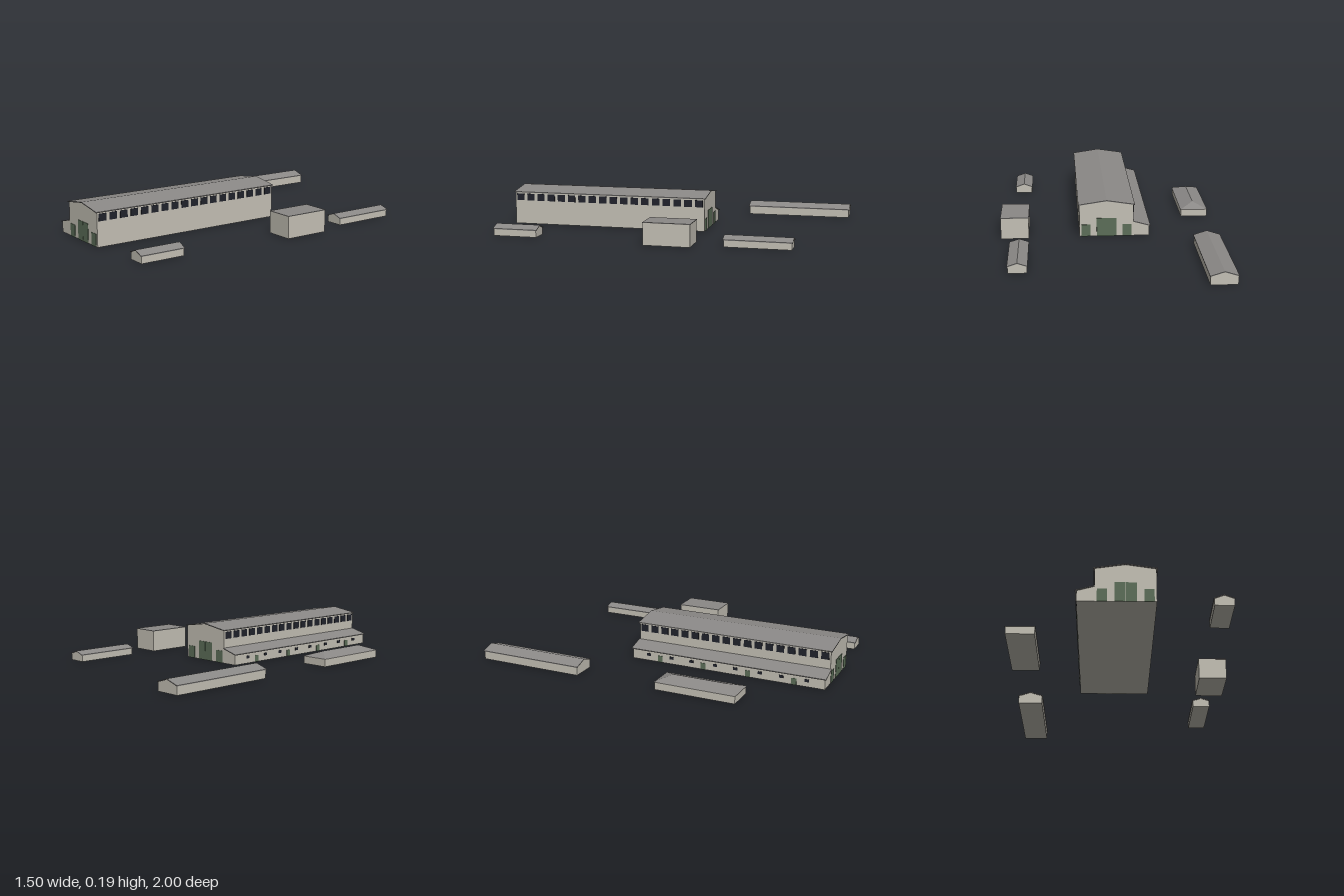
import * as THREE from 'three';

const mat = (name, color) => {
  const m = new THREE.MeshStandardMaterial({ color });
  m.name = name;
  return m;
};

export function createModel() {
  const wall = mat('pale wall', 0xc4c0b5);
  const roofing = mat('grey roofing', 0x8b8987);
  const doorGreen = mat('green door', 0x5c6e58);
  const glass = mat('dark glass', 0x20222b);

  const site = new THREE.Group();
  site.name = 'industrialSite';

  const add = (parent, name, geometry, material) => {
    const m = new THREE.Mesh(geometry, material);
    m.name = name;
    parent.add(m);
    return m;
  };

  // Every building shares the same heading
  const building = (name, x, z) => {
    const g = new THREE.Group();
    g.name = name;
    g.position.set(x, 0, z);
    g.rotation.y = -0.485;
    site.add(g);
    return g;
  };

  // Cross-section [x, y] extruded along z, centred
  const prism = (points, length) => {
    const shape = new THREE.Shape(points.map(([x, y]) => new THREE.Vector2(x, y)));
    return new THREE.ExtrudeGeometry(shape, { depth: length, bevelEnabled: false })
      .translate(0, 0, -length / 2);
  };

  // Thin roof sheet that follows a line of [x, y] points
  const sheet = (line, length, t = 0.004) =>
    prism([...line, ...line.map(([x, y]) => [x, y - t]).reverse()], length);

  const plate = (parent, name, material, [w, h, d], [x, y, z]) =>
    add(parent, name, new THREE.BoxGeometry(w, h, d), material).position.set(x, y, z);

  // Simple sheds with a pitched roof
  const shed = (name, x, z, w, l, eave, ridge) => {
    const g = building(name, x, z);
    const a = w / 2 - 0.003;
    add(g, 'walls', prism([[-a, 0], [a, 0], [a, eave - 0.002], [0, ridge - 0.003], [-a, eave - 0.002]], l - 0.008), wall);
    add(g, 'pitchedRoof', sheet([[-w / 2, eave], [0, ridge], [w / 2, eave]], l), roofing);
  };
  shed('backShed', -0.17, -0.72, 0.135, 0.56, 0.045, 0.066);
  shed('leftHandShed', 0.63, -0.21, 0.097, 0.335, 0.036, 0.052);
  shed('frontShed', 0.058, 0.873, 0.097, 0.232, 0.037, 0.055);

  // Flat-roofed block
  const block = building('flatBlock', 0.453, 0.183);
  plate(block, 'walls', wall, [0.143, 0.109, 0.232], [0, 0.0545, 0]);
  plate(block, 'flatRoof', roofing, [0.145, 0.003, 0.235], [0, 0.1105, 0]);

  // Shed with a hipped roof: the top of a box pulled in to a ridge
  const hip = building('hippedShed', -0.59, 0.09);
  plate(hip, 'walls', wall, [0.141, 0.039, 0.414], [0, 0.0195, 0]);
  const hipGeo = new THREE.BoxGeometry(0.147, 0.026, 0.42).toNonIndexed();
  const p = hipGeo.attributes.position;
  for (let i = 0; i < p.count; i++) {
    if (p.getY(i) > 0) {
      p.setX(i, 0);
      p.setZ(i, Math.sign(p.getZ(i)) * 0.143);
    }
  }
  hipGeo.computeVertexNormals();
  add(hip, 'hippedRoof', hipGeo, roofing).position.y = 0.052;

  // Main hall with a lean-to aisle along one side
  const hall = building('mainHall', -0.195, 0.315);
  const L = 1.032;
  add(hall, 'hallWalls', prism([[-0.1, 0], [0.18, 0], [0.18, 0.169], [0.04, 0.189], [-0.1, 0.169]], L), wall);
  add(hall, 'aisleWalls', prism([[-0.18, 0], [-0.1, 0], [-0.1, 0.075], [-0.18, 0.053]], L), wall);
  add(hall, 'hallRoof', sheet([[-0.106, 0.171], [0.04, 0.193], [0.186, 0.171]], L + 0.012), roofing);
  add(hall, 'aisleRoof', sheet([[-0.187, 0.055], [-0.1, 0.079]], L + 0.012), roofing);

  // Upper window bands on both long sides
  const count = 18;
  const step = L / count;
  for (const x of [-0.1, 0.18]) {
    for (let i = 0; i < count; i++) {
      plate(hall, 'upperWindow', glass, [0.004, 0.036, step * 0.7], [x, 0.143, -L / 2 + (i + 0.5) * step]);
    }
  }

  // Gates on both gable ends
  for (const z of [-L / 2, L / 2]) {
    for (const x of [0.0145, 0.0655]) {
      plate(hall, 'mainGateLeaf', doorGreen, [0.05, 0.097, 0.004], [x, 0.0485, z]);
    }
    for (const x of [-0.066, 0.146]) {
      plate(hall, 'sideGate', doorGreen, [0.046, 0.063, 0.004], [x, 0.0315, z]);
    }
  }

  // Small doors, each with a window either side, along the aisle
  for (const z of [-0.36, -0.12, 0.12, 0.36]) {
    plate(hall, 'aisleDoor', doorGreen, [0.004, 0.034, 0.026], [-0.18, 0.017, z]);
    for (const dz of [-0.065, 0.065]) {
      plate(hall, 'aisleWindow', glass, [0.004, 0.014, 0.022], [-0.18, 0.032, z + dz]);
    }
  }

  return site;
}
